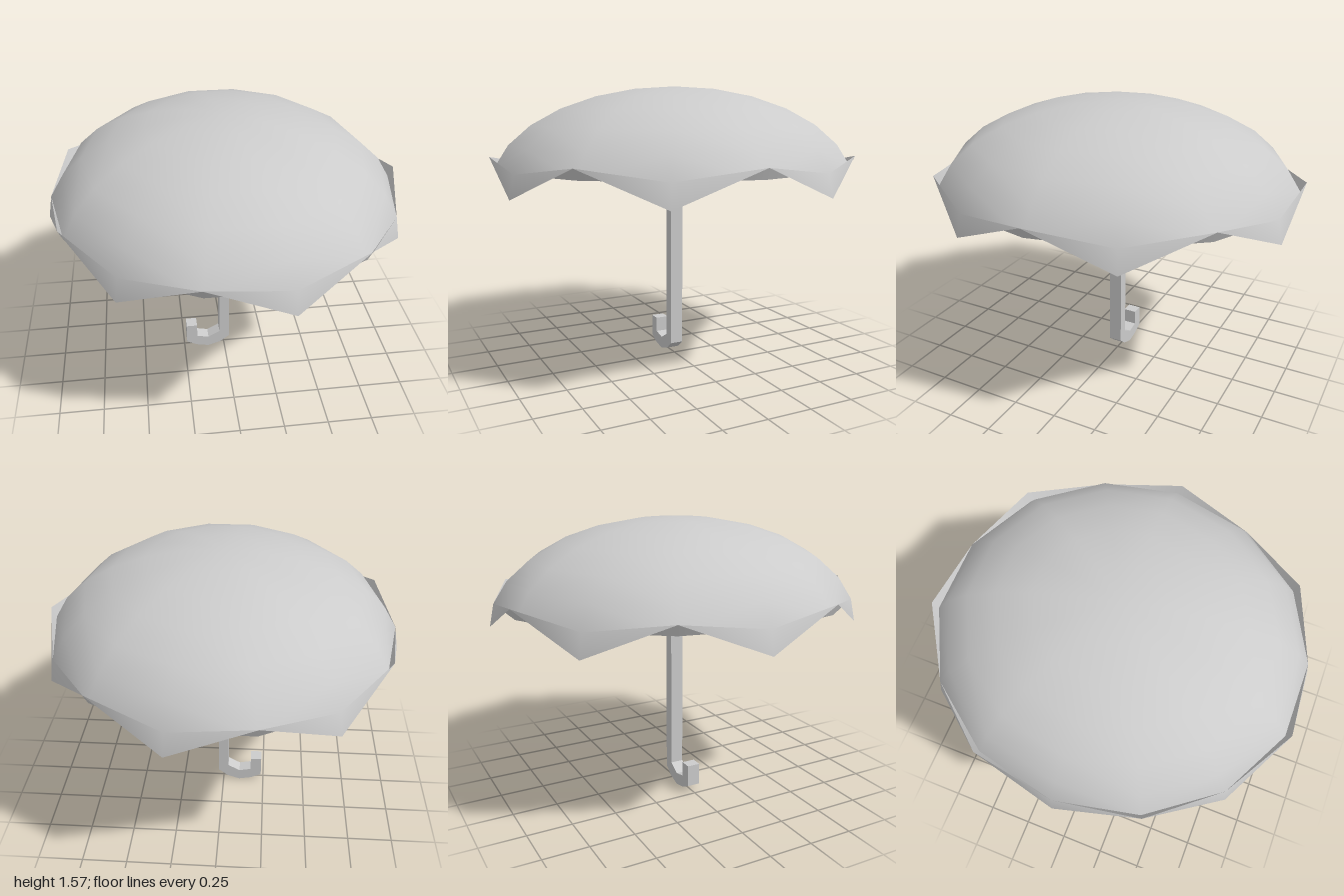
import * as THREE from 'three';
import { toCreasedNormals } from 'three/addons/utils/BufferGeometryUtils.js';

const SIDES = 14, RINGS = 7;
const RX = 0.96, RZ = 1.026, BASE = 1.01, HEIGHT = 0.555, SCALLOP = 0.18;

// Half-ellipsoid dome whose outermost ring zigzags up and down
function canopyGeometry() {
  const positions = [0, BASE + HEIGHT, 0];
  const index = [];
  const id = (ring, k) => 1 + (ring - 1) * SIDES + (k % SIDES);
  for (let ring = 1; ring <= RINGS; ring++) {
    const phi = (ring / RINGS) * Math.PI / 2;
    for (let k = 0; k < SIDES; k++) {
      const t = (k / SIDES) * Math.PI * 2;
      const lift = ring === RINGS && k % 2 === 0 ? SCALLOP : 0;
      positions.push(
        RX * Math.sin(phi) * Math.cos(t),
        BASE + HEIGHT * Math.cos(phi) + lift,
        RZ * Math.sin(phi) * Math.sin(t));
    }
  }
  for (let k = 0; k < SIDES; k++) {
    index.push(0, id(1, k + 1), id(1, k));
    for (let ring = 1; ring < RINGS; ring++) {
      const a = id(ring, k), b = id(ring, k + 1);
      const c = id(ring + 1, k), d = id(ring + 1, k + 1);
      // diagonals start from the raised rim corners
      if (k % 2 === 0) index.push(a, b, c, b, d, c);
      else index.push(a, b, d, a, d, c);
    }
  }
  const geometry = new THREE.BufferGeometry();
  geometry.setAttribute('position', new THREE.Float32BufferAttribute(positions, 3));
  geometry.setIndex(index);
  return toCreasedNormals(geometry, 0.9);
}

// Square pole and faceted hook cut from one outline
function handleGeometry() {
  const outline = [
    [0.03, 1.555], [-0.03, 1.555], [-0.03, 0.11], [-0.10, 0.07], [-0.17, 0.085],
    [-0.17, 0.17], [-0.235, 0.17], [-0.235, 0.045], [-0.175, 0.015], [-0.10, 0],
    [-0.025, 0.025], [0.03, 0.07],
  ];
  const shape = new THREE.Shape(outline.map(([x, y]) => new THREE.Vector2(x, y)));
  const depth = 0.074;
  return new THREE.ExtrudeGeometry(shape, { depth, bevelEnabled: false })
    .translate(0, 0, -depth / 2);
}

export function createModel() {
  const group = new THREE.Group();
  group.name = 'umbrella';

  const canopy = new THREE.Mesh(canopyGeometry(),
    new THREE.MeshStandardMaterial({ color: 0xcccccc, side: THREE.DoubleSide }));
  canopy.name = 'canopy';

  const handle = new THREE.Mesh(handleGeometry(),
    new THREE.MeshStandardMaterial({ color: 0xcccccc }));
  handle.name = 'poleAndHook';

  group.add(canopy, handle);
  return group;
}
